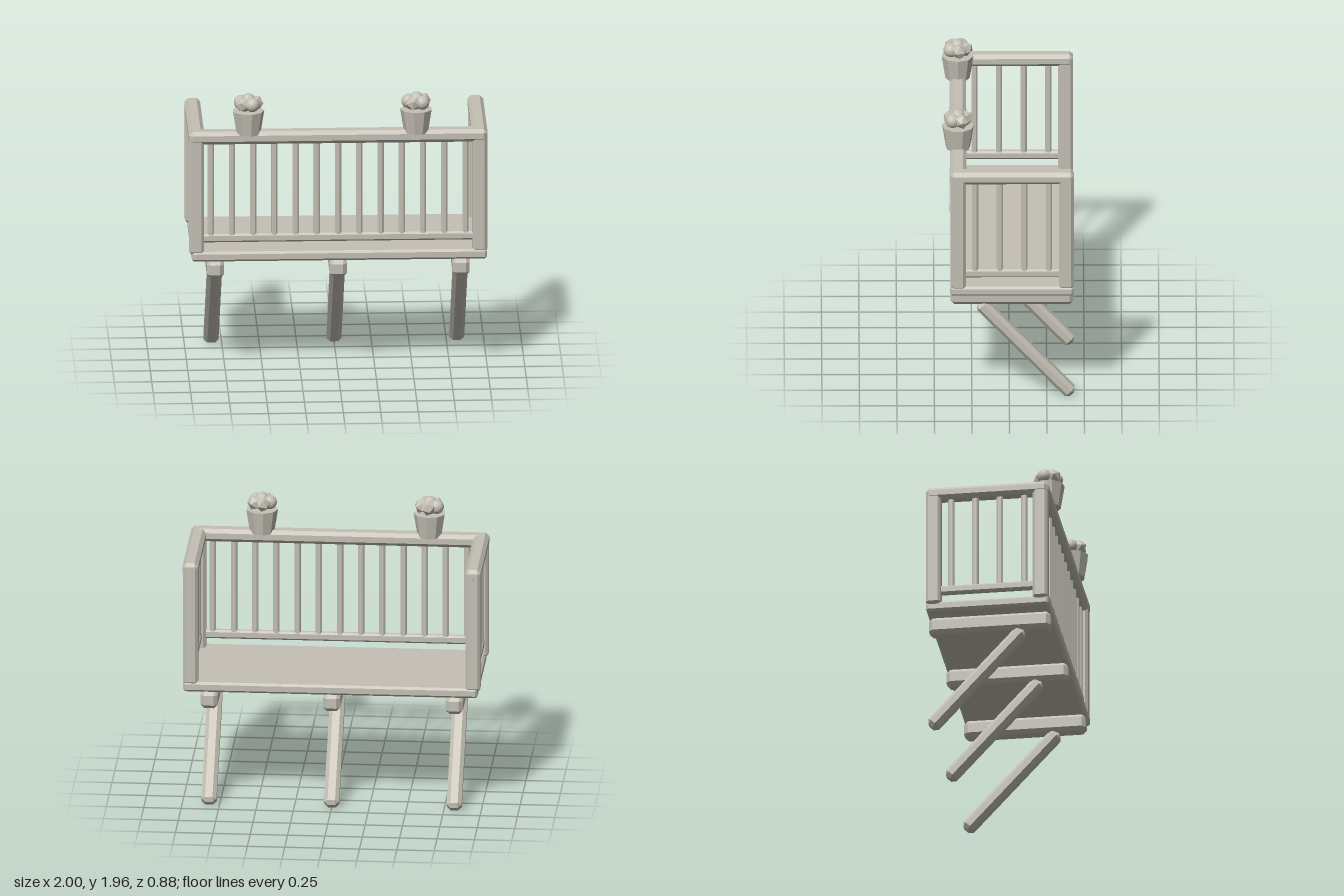
import * as THREE from 'three';
import { ConvexGeometry } from 'three/addons/geometries/ConvexGeometry.js';

const stone = new THREE.MeshStandardMaterial({ color: 0xc4c0b5, flatShading: true });
stone.name = 'paleStone';

// Box with bevelled edges: each corner is cut into three points
function beam(name, w, h, d, x, y, z, bevel = 0.015) {
  const points = [];
  for (const sx of [-1, 1]) for (const sy of [-1, 1]) for (const sz of [-1, 1]) {
    const a = w / 2, b = h / 2, c = d / 2;
    points.push(
      new THREE.Vector3(sx * a, sy * (b - bevel), sz * (c - bevel)),
      new THREE.Vector3(sx * (a - bevel), sy * b, sz * (c - bevel)),
      new THREE.Vector3(sx * (a - bevel), sy * (b - bevel), sz * c));
  }
  const mesh = new THREE.Mesh(new ConvexGeometry(points), stone);
  mesh.name = name;
  mesh.position.set(x, y, z);
  return mesh;
}

// Faceted flower pot with a cluster of round leaves
function flowerPot(x, turn) {
  const pot = new THREE.Group();
  pot.name = 'flowerPot';
  const tub = new THREE.Mesh(new THREE.CylinderGeometry(0.108, 0.082, 0.16, 9), stone);
  tub.name = 'tub';
  tub.position.y = 0.08;
  pot.add(tub);
  for (let i = 0; i < 6; i++) {
    const a = i * Math.PI * 2 / 5;
    const r = i < 5 ? 0.052 : 0;
    const leaf = new THREE.Mesh(new THREE.IcosahedronGeometry(i % 2 ? 0.049 : 0.053, i % 2 ? 2 : 0), stone);
    leaf.name = 'leafBall';
    leaf.position.set(Math.cos(a) * r, i < 5 ? 0.212 : 0.23, Math.sin(a) * r);
    leaf.rotation.set(i * 0.7, i * 1.3, 0);
    pot.add(leaf);
  }
  pot.position.set(x, 1.682, 0.342);
  pot.rotation.y = turn;
  return pot;
}

export function createModel() {
  const model = new THREE.Group();
  model.name = 'balcony';

  // Floor slab
  model.add(beam('floor', 1.97, 0.068, 0.825, 0.008, 0.836, -0.018));

  // Front railing: handrail, lower rail and balusters
  model.add(beam('frontHandrail', 1.99, 0.088, 0.11, 0, 1.66, 0.34, 0.024));
  model.add(beam('frontLowerRail', 1.82, 0.058, 0.05, 0, 0.957, 0.34, 0.012));
  for (let i = 0; i < 13; i++) {
    model.add(beam('frontBaluster', 0.042, 0.68, 0.042, -0.85 + i * 0.1417, 1.3, 0.34, 0.011));
  }

  // Side railings with their posts
  for (const s of [-1, 1]) {
    const x = s * 0.945;
    const side = new THREE.Group();
    side.name = s > 0 ? 'leftRailing' : 'rightRailing';
    side.add(beam('handrail', 0.105, 0.085, 0.825, x, 1.66, -0.018, 0.024));
    side.add(beam('lowerRail', 0.05, 0.058, 0.68, x, 0.957, -0.02, 0.012));
    for (const z of [0.34, -0.38]) {
      side.add(beam('post', 0.1, 0.84, 0.1, x, 1.27, z, 0.018));
    }
    for (let i = 0; i < 4; i++) {
      side.add(beam('baluster', 0.042, 0.68, 0.042, x, 1.3, 0.228 - i * 0.164, 0.011));
    }
    model.add(side);
  }

  // Joists under the floor, each with a slanting brace
  for (const x of [-0.82, 0, 0.82]) {
    model.add(beam('joist', 0.115, 0.12, 0.82, x, 0.742, -0.018, 0.026));
    const brace = beam('brace', 0.1, 0.91, 0.09, x, 0.352, -0.109, 0.025);
    brace.rotation.x = Math.atan2(0.6, 0.65);
    model.add(brace);
  }

  // Pots on the front handrail
  model.add(flowerPot(-0.6, 0.2), flowerPot(0.522, 0.5));
  return model;
}
